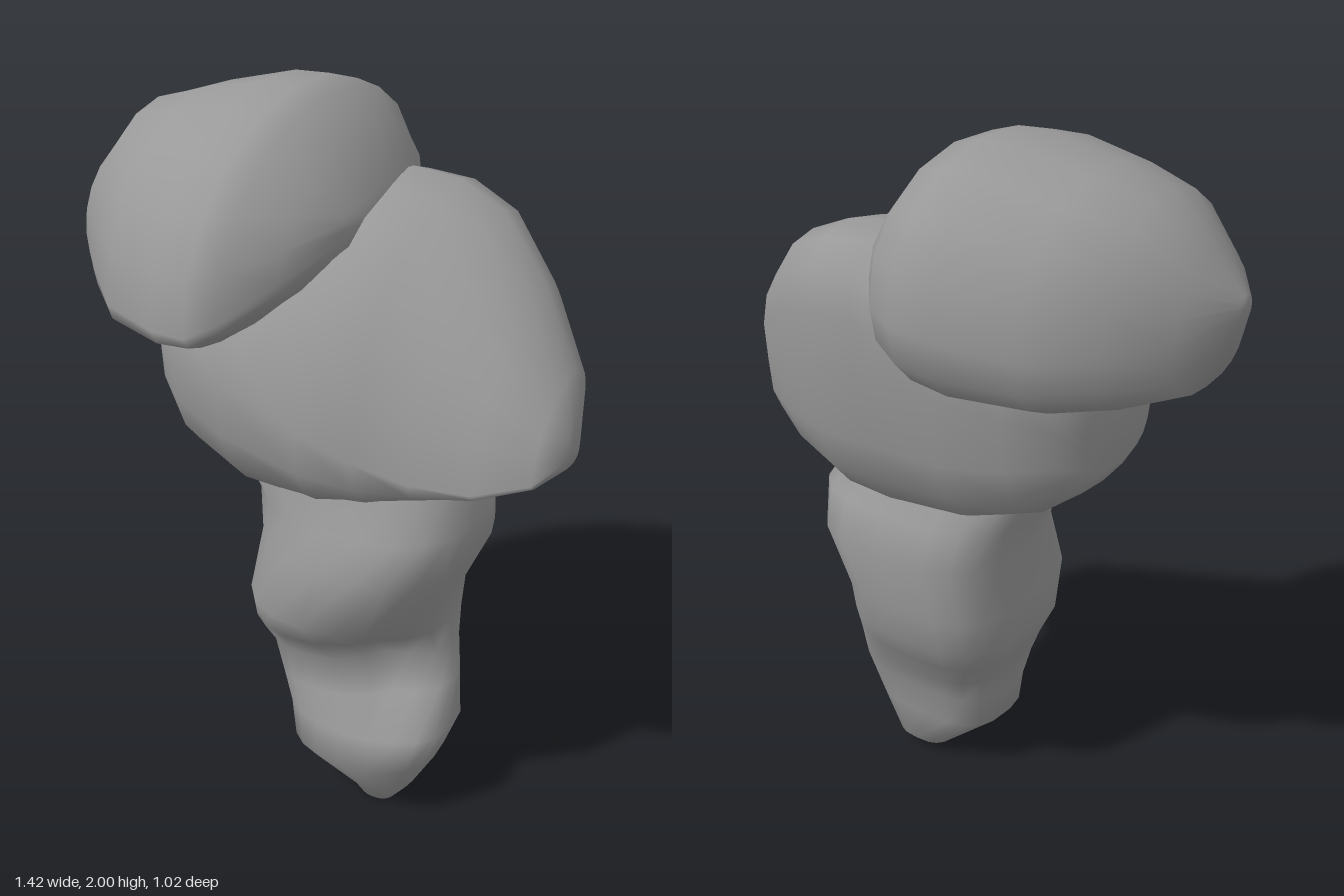
import * as THREE from 'three';

const SIDES = 20;

// Loft along an axis (0 = x, 1 = y); u and v are the next axes in cyclic order.
// Section: [position, uMin, uWaist, uMax, vMin, vMax, tilt].
// The waist is where the outline is widest; tilt slopes it along v.
// Lean shifts the upper half along v; upper and lower set how boxy each half is.
function loft(name, axis, sections, material, { lean = 0, upper = 0.88, lower = 0.75, dent = () => 1 }) {
  const u = (axis + 1) % 3, v = (axis + 2) % 3;
  const pos = [], index = [];
  const add = (a, pu, pv) => {
    const p = [0, 0, 0];
    p[axis] = a; p[u] = pu; p[v] = pv;
    pos.push(...p);
  };
  const soft = (t, power) => Math.sign(t) * Math.abs(t) ** power;
  for (const [a, u0, uw, u1, v0, v1, tilt = 0] of sections) {
    const cv = (v0 + v1) / 2, rv = (v1 - v0) / 2, h = u1 - uw;
    const rise = Math.sqrt(Math.max(h * h - (tilt * rv) ** 2, h * h * 0.2));
    for (let j = 0; j < SIDES; j++) {
      const t = (j / SIDES) * Math.PI * 2;
      const power = Math.cos(t) > 0 ? upper : lower;
      const c = soft(Math.cos(t), power), s = soft(Math.sin(t), power) * rv;
      const waist = uw + tilt * s;
      const pu = c > 0 ? waist + rise * c : waist + (waist - u0) * c;
      const pv = s + lean * rv * Math.max(c, 0);
      const k = dent(a, t);
      add(a, uw + (pu - uw) * k, cv + pv * k);
    }
  }
  const n = sections.length;
  for (let i = 0; i < n - 1; i++) {
    for (let j = 0; j < SIDES; j++) {
      const a = i * SIDES + j, b = i * SIDES + (j + 1) % SIDES;
      index.push(a, b, b + SIDES, a, b + SIDES, a + SIDES);
    }
  }
  // End caps
  for (const i of [0, n - 1]) {
    const [a, , uw, , v0, v1] = sections[i];
    const c = pos.length / 3;
    add(a, uw, (v0 + v1) / 2);
    for (let j = 0; j < SIDES; j++) {
      const p = i * SIDES + j, q = i * SIDES + (j + 1) % SIDES;
      if (i === 0) index.push(c, q, p); else index.push(c, p, q);
    }
  }
  const geo = new THREE.BufferGeometry();
  geo.setAttribute('position', new THREE.Float32BufferAttribute(pos, 3));
  geo.setIndex(index);
  geo.computeVertexNormals();
  const mesh = new THREE.Mesh(geo, material);
  mesh.name = name;
  return mesh;
}

export function createModel() {
  const group = new THREE.Group();
  group.name = 'lumpyForm';
  const grey = new THREE.MeshStandardMaterial({ color: 0x999999 });
  grey.name = 'grey';

  // Stalk: sections up y, z as u and x as v, with a narrow hollow at the front
  const hollow = (y, t) => {
    const height = Math.max(0, 1 - Math.abs(y - 0.45) / 0.18);
    return 1 - 0.42 * height * Math.max(0, 1 - Math.abs(t - 0.65) / 0.65);
  };
  group.add(loft('stalk', 1, [
    [0, 0.04, 0.09, 0.13, 0.17, 0.27],
    [0.04, -0.06, 0.05, 0.15, 0.12, 0.31],
    [0.18, -0.09, 0.08, 0.25, -0.04, 0.39],
    [0.29, -0.11, 0.07, 0.25, -0.06, 0.43],
    [0.38, -0.15, 0.03, 0.21, -0.08, 0.39, -0.25],
    [0.47, -0.2, 0, 0.19, -0.12, 0.36, -0.3],
    [0.56, -0.25, 0.01, 0.26, -0.16, 0.36, -0.2],
    [0.67, -0.27, 0.04, 0.35, -0.16, 0.38],
    [0.84, -0.285, 0.03, 0.34, -0.15, 0.46, 0.12],
    [0.95, -0.25, 0.03, 0.31, -0.17, 0.47, 0.12],
    [1.03, -0.19, 0.04, 0.27, -0.2, 0.42],
    [1.15, -0.17, 0.04, 0.24, -0.18, 0.36],
  ], grey, { lower: 0.66, dent: hollow }));

  // Body: sections along x, y as u and z as v, with the ridge towards the back
  group.add(loft('body', 0, [
    [-0.4, 1.16, 1.28, 1.36, -0.14, 0.18],
    [-0.37, 1.11, 1.34, 1.48, -0.23, 0.25],
    [-0.27, 1.03, 1.38, 1.6, -0.31, 0.34],
    [-0.1, 0.97, 1.37, 1.7, -0.36, 0.39, -0.08],
    [0.12, 0.96, 1.34, 1.77, -0.39, 0.38, -0.24],
    [0.25, 0.98, 1.3, 1.75, -0.39, 0.33, -0.33],
    [0.39, 1.04, 1.26, 1.69, -0.35, 0.29, -0.38],
    [0.54, 1.09, 1.22, 1.55, -0.25, 0.25, -0.35],
    [0.67, 1.14, 1.21, 1.38, -0.12, 0.19, -0.28],
    [0.71, 1.17, 1.21, 1.28, -0.01, 0.1],
  ], grey, { lean: -0.2 }));

  // Head lobe: overhanging dome, widest near its underside
  group.add(loft('head', 0, [
    [-0.71, 1.63, 1.66, 1.69, 0.01, 0.07],
    [-0.64, 1.45, 1.6, 1.79, -0.17, 0.2, -0.08],
    [-0.53, 1.42, 1.57, 1.92, -0.31, 0.31, -0.1],
    [-0.39, 1.4, 1.55, 1.96, -0.43, 0.43, -0.12],
    [-0.2, 1.4, 1.56, 2, -0.5, 0.5, -0.14],
    [-0.1, 1.42, 1.57, 2, -0.51, 0.51, -0.15],
    [-0.03, 1.47, 1.6, 1.98, -0.49, 0.47, -0.15],
    [0.06, 1.55, 1.65, 1.88, -0.38, 0.34, -0.12],
    [0.13, 1.64, 1.7, 1.76, -0.24, 0.18],
  ], grey, { upper: 0.98 }));

  return group;
}
